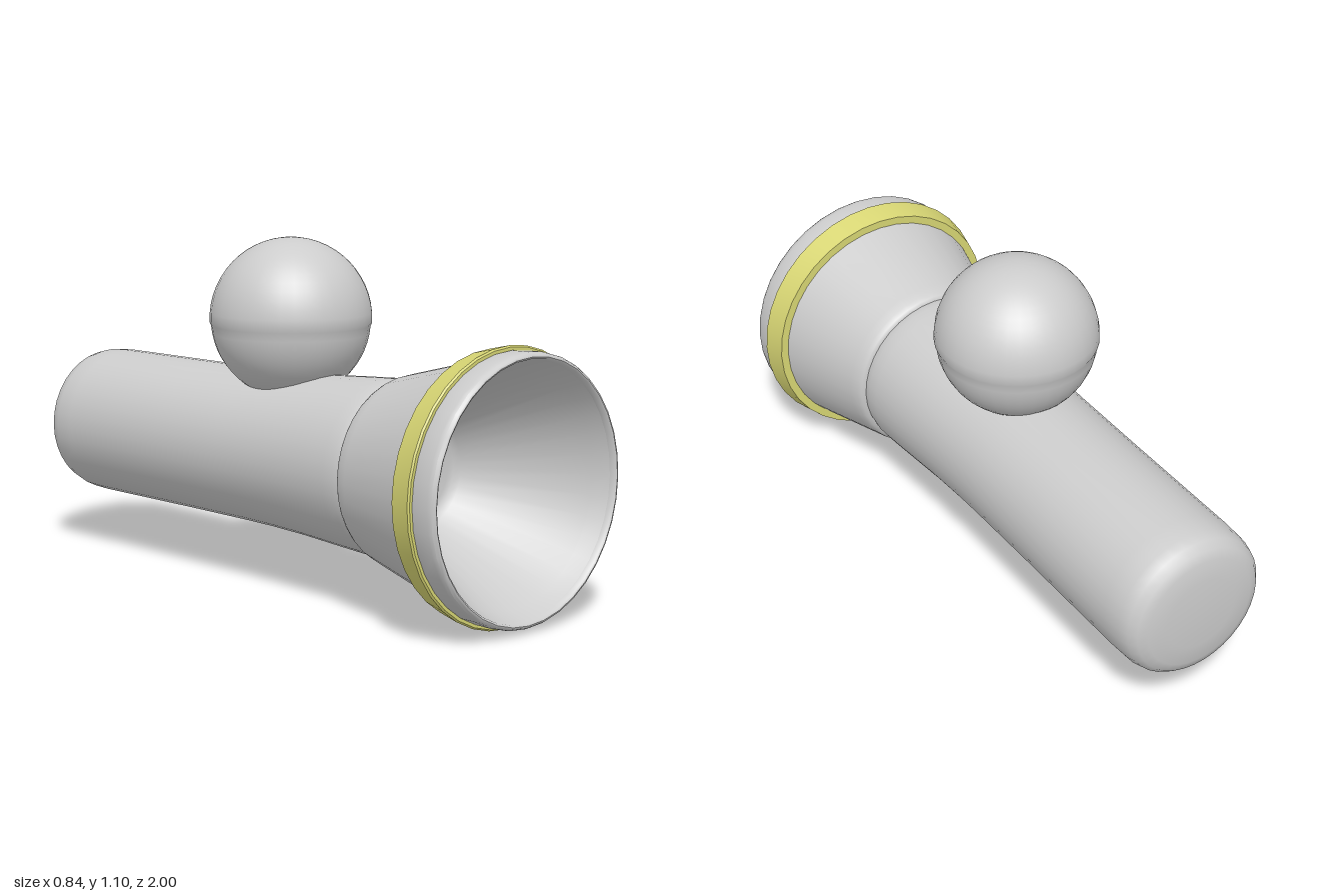
import * as THREE from 'three';
import { toCreasedNormals } from 'three/addons/utils/BufferGeometryUtils.js';

const AXIS_Y = 0.42;

export function createModel() {
  const group = new THREE.Group();
  const grey = new THREE.MeshStandardMaterial({ color: 0xcccccc });
  grey.name = 'grey body';
  const yellow = new THREE.MeshStandardMaterial({ color: 0xd8d674 });
  yellow.name = 'yellow band';

  // Turned part from [radius, height] pairs
  const turned = (name, pairs, material, crease = 0.6) => {
    const points = pairs.map(([r, h]) => new THREE.Vector2(r, h));
    const geometry = toCreasedNormals(new THREE.LatheGeometry(points, 36), crease);
    const mesh = new THREE.Mesh(geometry, material);
    mesh.name = name;
    group.add(mesh);
    return mesh;
  };

  // Part turned about the lengthwise axis, heights becoming z
  const along = (...args) => {
    const mesh = turned(...args);
    mesh.rotation.x = Math.PI / 2;
    mesh.position.y = AXIS_Y;
  };

  // Handle: rounded back end, gently flared towards the head
  along('handle', [
    [0, -1], [0.12, -0.997], [0.185, -0.99], [0.215, -0.978], [0.234, -0.955],
    [0.243, -0.92], [0.246, -0.85], [0.247, -0.4], [0.249, -0.1], [0.251, 0],
    [0.257, 0.15], [0.268, 0.32], [0.274, 0.42], [0.275, 0.46], [0.27, 0.5], [0.26, 0.52],
  ], grey);

  // Head: flared outer shell, rounded rim
  along('headShell', [
    [0.25, 0.485], [0.272, 0.488], [0.284, 0.495], [0.292, 0.51], [0.3, 0.54],
    [0.376, 0.84], [0.398, 0.9], [0.404, 0.92], [0.405, 0.975],
    [0.403, 0.99], [0.398, 0.998], [0.392, 1], [0.386, 0.996], [0.381, 0.98],
  ], grey, 0.9);

  // Hollow cone inside the head with a small flat floor
  along('reflector', [
    [0.381, 0.98], [0.36, 0.93], [0.17, 0.57], [0.155, 0.553], [0.135, 0.547], [0, 0.545],
  ], grey);

  // Raised band round the head
  along('band', [
    [0.37, 0.836], [0.401, 0.836], [0.418, 0.912], [0.413, 0.917], [0.4, 0.917],
  ], yellow, 0.4);

  // Ball on top, its lower half set in a hair at the equator
  const arc = (radius, from, to) => Array.from({ length: 15 }, (_, i) => {
    const a = from + (to - from) * i / 14;
    return [Math.max(0, radius * Math.cos(a)), radius * Math.sin(a)];
  });
  const ball = turned('ball', [
    ...arc(0.254, -Math.PI / 2, -0.08),
    ...arc(0.258, -0.04, Math.PI / 2),
  ], grey);
  ball.position.set(0, 0.842, -0.01);

  return group;
}
